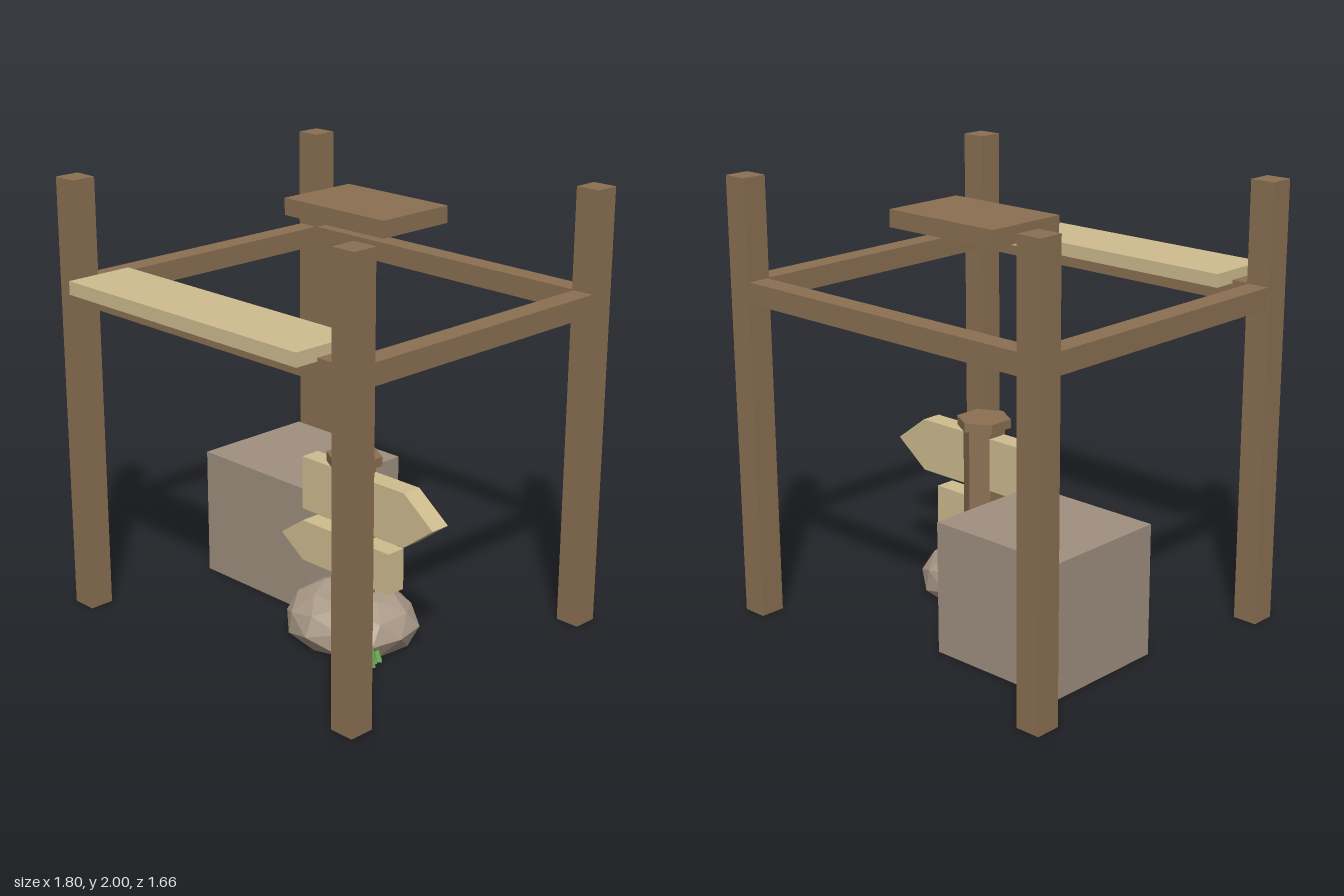
import * as THREE from 'three';

const mat = (color) => new THREE.MeshStandardMaterial({ color, flatShading: true });

export function createModel() {
  const model = new THREE.Group();
  const wood = mat(0x8b7153), plank = mat(0xd0bd90), crateGrey = mat(0xa09080);
  const stone = mat(0xae9d8b), leaf = mat(0x69a54e);

  const add = (name, geometry, material, x, y, z, parent = model) => {
    const mesh = new THREE.Mesh(geometry, material);
    mesh.name = name;
    mesh.position.set(x, y, z);
    parent.add(mesh);
    return mesh;
  };
  // Box given by its minimum and maximum corners
  const box = (name, material, a, b) =>
    add(name, new THREE.BoxGeometry(b[0] - a[0], b[1] - a[1], b[2] - a[2]), material,
      (a[0] + b[0]) / 2, (a[1] + b[1]) / 2, (a[2] + b[2]) / 2);

  // Frame: four corner posts joined by rails
  for (const s of [-1, 1]) {
    const x = s * 0.84;
    for (const z of [-0.772, 0.67])
      box('cornerPost', wood, [x - 0.058, 0, z - 0.058], [x + 0.058, 2, z + 0.058]);
    box('sideRail', wood, [x - 0.05, 1.455, -0.714], [x + 0.05, 1.55, 0.612]);
  }
  for (const z of [-0.772, 0.67])
    box('crossRail', wood, [-0.782, 1.455, z - 0.05], [0.782, 1.55, z + 0.05]);

  // Counter, hanging board and crate
  box('counterPlank', plank, [-0.7, 1.535, 0.51], [0.697, 1.595, 0.83]);
  box('hangingBoard', wood, [-0.3, 1.803, -0.45], [0.298, 1.88, -0.053]);
  box('crate', crateGrey, [-0.74, 0, -0.55], [-0.063, 0.602, 0.048]);

  // Signpost: hexagonal post, cap and two pointed boards
  const sign = new THREE.Group();
  sign.name = 'signpost';
  model.add(sign);
  add('signPole', new THREE.CylinderGeometry(0.097, 0.097, 0.72, 6), wood, 0.237, 0.455, 0.05, sign);
  add('poleCap', new THREE.CylinderGeometry(0.125, 0.125, 0.042, 6), wood, 0.237, 0.836, 0.05, sign);
  const arrow = (name, tail, neck, tip, y0, y1) => {
    const points = [[tail, y0], [neck, y0], [tip, (y0 + y1) / 2], [neck, y1], [tail, y1]];
    const shape = new THREE.Shape(points.map(([x, y]) => new THREE.Vector2(x, y)));
    add(name, new THREE.ExtrudeGeometry(shape, { depth: 0.095, bevelEnabled: false }), plank, 0, 0, 0, sign);
  };
  arrow('upperArrow', -0.04, 0.575, 0.74, 0.535, 0.783);
  arrow('lowerArrow', 0.49, -0.04, -0.177, 0.285, 0.477);

  // Faceted rock, flattened at top and bottom
  const rock = new THREE.IcosahedronGeometry(1, 1);
  const p = rock.attributes.position;
  for (let i = 0; i < p.count; i++) {
    const x = p.getX(i), y = p.getY(i), z = p.getZ(i);
    const k = 1 + 0.03 * Math.sin(5 * x + 3 * y + 7 * z);
    p.setXYZ(i, x * 0.315 * k, THREE.MathUtils.clamp(y * 0.16 * k, -0.08, 0.135), z * 0.282 * k);
  }
  rock.computeVertexNormals();
  add('rock', rock, stone, 0.236, 0.081, 0.06);

  // Grass tufts: [x, z, height, radius, lean]
  const blades = [
    [0.49, 0.2, 0.19, 0.04, 0.1], [0.51, 0.22, 0.1, 0.03, -0.15], [0.5, 0.17, 0.08, 0.03, 0],
    [-0.015, 0.13, 0.19, 0.035, -0.12], [-0.025, 0.15, 0.08, 0.025, 0.15], [0, 0.1, 0.07, 0.025, 0],
  ];
  for (const [x, z, h, r, lean] of blades)
    add('grassBlade', new THREE.ConeGeometry(r, h, 4).translate(0, h / 2, 0), leaf, x, 0.004, z).rotation.z = lean;

  return model;
}
